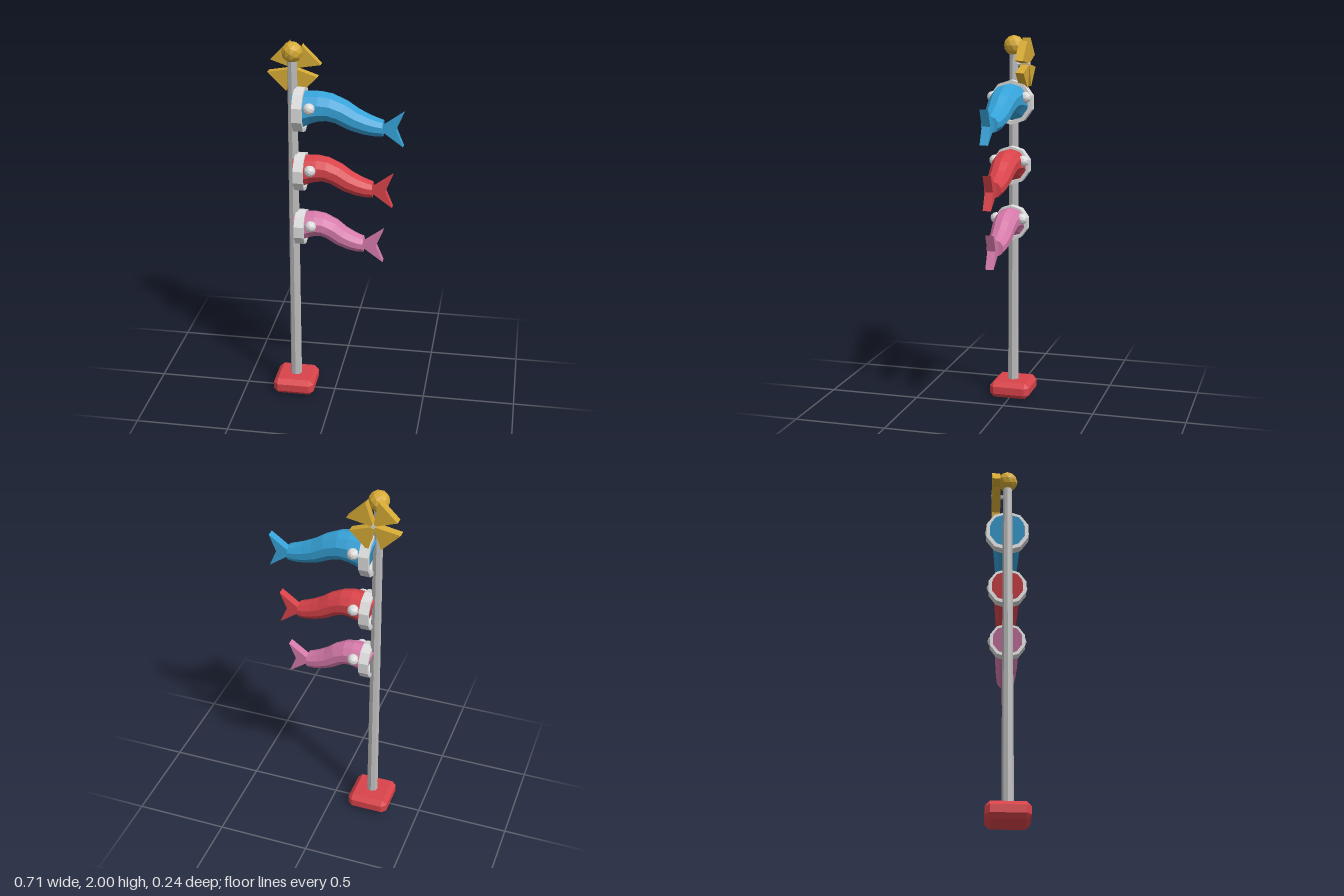
import * as THREE from 'three';
import { ConvexGeometry } from 'three/addons/geometries/ConvexGeometry.js';

const POLE_X = -0.22;

const paint = (name, color) => {
  const m = new THREE.MeshStandardMaterial({ color, flatShading: true });
  m.name = name;
  return m;
};

const addMesh = (parent, name, geometry, material, x = 0, y = 0, z = 0) => {
  const mesh = new THREE.Mesh(geometry, material);
  mesh.name = name;
  mesh.position.set(x, y, z);
  parent.add(mesh);
  return mesh;
};

// Box with all edges cut at 45 degrees
function chamferedBox(hx, hy, hz, b) {
  const points = [];
  for (const sx of [-1, 1]) for (const sy of [-1, 1]) for (const sz of [-1, 1]) {
    points.push(
      new THREE.Vector3(sx * hx, sy * (hy - b), sz * (hz - b)),
      new THREE.Vector3(sx * (hx - b), sy * hy, sz * (hz - b)),
      new THREE.Vector3(sx * (hx - b), sy * (hy - b), sz * hz));
  }
  return new ConvexGeometry(points);
}

// Flat outline given thickness along z, centred on z = 0
function plate(outline, thickness) {
  const shape = new THREE.Shape(outline.map(([x, y]) => new THREE.Vector2(x, y)));
  return new THREE.ExtrudeGeometry(shape, { depth: thickness, bevelEnabled: false })
    .translate(0, 0, -thickness / 2);
}

// Tapered ten-sided tube following a wavy spine, closed at both ends
function bodyGeometry(length, scale) {
  const spine = new THREE.CatmullRomCurve3([
    [0.01, 0], [0.1, 0.011], [0.27, 0.022], [0.44, 0.013],
    [0.67, -0.04], [0.87, -0.07], [1, -0.078]
  ].map(([t, y]) => new THREE.Vector3(-0.2 + t * length, y, 0)));
  const sides = 10, steps = 9, positions = [], indices = [];
  for (let i = 0; i <= steps; i++) {
    const t = i / steps;
    const c = spine.getPoint(t);
    const d = i === steps ? new THREE.Vector3(1, 0, 0) : spine.getTangent(t);
    const r = THREE.MathUtils.lerp(0.107 * scale, 0.047, t);
    for (let j = 0; j < sides; j++) {
      const a = j / sides * Math.PI * 2;
      const up = Math.cos(a) * r * 0.93;
      positions.push(c.x - d.y * up, c.y + d.x * up, Math.sin(a) * r);
    }
  }
  for (let j = 0; j < sides; j++) {
    const k = (j + 1) % sides;
    for (let i = 0; i < steps; i++) {
      const a = i * sides + j, b = i * sides + k;
      indices.push(a, b, a + sides, b, b + sides, a + sides);
    }
    if (j > 0 && k > 0) {
      const e = steps * sides;
      indices.push(0, k, j, e, e + j, e + k);
    }
  }
  const g = new THREE.BufferGeometry();
  g.setAttribute('position', new THREE.Float32BufferAttribute(positions, 3));
  g.setIndex(indices);
  const flat = g.toNonIndexed();
  flat.computeVertexNormals();
  return flat;
}

// Ten-sided mouth hoop with its axis along x
function hoopGeometry(radius) {
  const inner = radius * 0.82, h = 0.026;
  const profile = [[inner, -h], [radius, -h], [radius, h], [inner, h], [inner, -h]]
    .map(([x, y]) => new THREE.Vector2(x, y));
  return new THREE.LatheGeometry(profile, 10, Math.PI / 2).rotateZ(Math.PI / 2);
}

function makeStreamer(name, y, length, scale, material, white) {
  const fish = new THREE.Group();
  fish.name = name;
  fish.position.y = y;
  addMesh(fish, 'body', bodyGeometry(length, scale), material);
  addMesh(fish, 'mouthHoop', hoopGeometry(0.12 * scale), white, -0.181);
  const tail = plate([[0, -0.012], [0.108, -0.09], [0.07, 0], [0.108, 0.09], [0, 0.012]], 0.044);
  addMesh(fish, 'tailFin', tail, material, length - 0.2 + 0.0 - 0.003, -0.079);
  for (const side of [-1, 1]) {
    addMesh(fish, side > 0 ? 'leftEye' : 'rightEye', new THREE.IcosahedronGeometry(0.031, 1),
      white, -0.12, 0.032, side * 0.09 * scale);
  }
  return fish;
}

export function createModel() {
  const model = new THREE.Group();
  model.name = 'fishStreamerPole';
  const red = paint('red', 0xd9434a);
  const blue = paint('blue', 0x36a3d9);
  const pink = paint('pink', 0xd67aaa);
  const gold = paint('gold', 0xd6aa35);
  const white = paint('white', 0xdcdcdc);
  const grey = paint('grey', 0xbcbcbc);

  // Stand, pole and finial
  addMesh(model, 'base', chamferedBox(0.113, 0.045, 0.113, 0.025), red, POLE_X, 0.045);
  addMesh(model, 'pole', new THREE.CylinderGeometry(0.025, 0.031, 1.86, 8), grey, POLE_X, 1.0);
  addMesh(model, 'finial', new THREE.IcosahedronGeometry(0.055, 1), gold, POLE_X, 1.945);

  // Pinwheel behind the pole
  const pinwheel = new THREE.Group();
  pinwheel.name = 'pinwheel';
  pinwheel.position.set(POLE_X, 1.847, -0.063);
  model.add(pinwheel);
  for (let i = 0; i < 4; i++) {
    const blade = addMesh(pinwheel, 'blade', plate([[0, 0], [0.139, 0.024], [0.042, 0.122]], 0.044), gold);
    blade.rotation.z = i * Math.PI / 2;
  }
  const axle = new THREE.CylinderGeometry(0.011, 0.011, 0.07, 8).rotateX(Math.PI / 2);
  addMesh(pinwheel, 'axle', axle, white, 0, 0, 0.01);

  // Streamers, largest at the top
  model.add(
    makeStreamer('blueStreamer', 1.645, 0.45, 1, blue, white),
    makeStreamer('redStreamer', 1.305, 0.4, 0.87, red, white),
    makeStreamer('pinkStreamer', 0.99, 0.355, 0.8, pink, white));
  return model;
}
